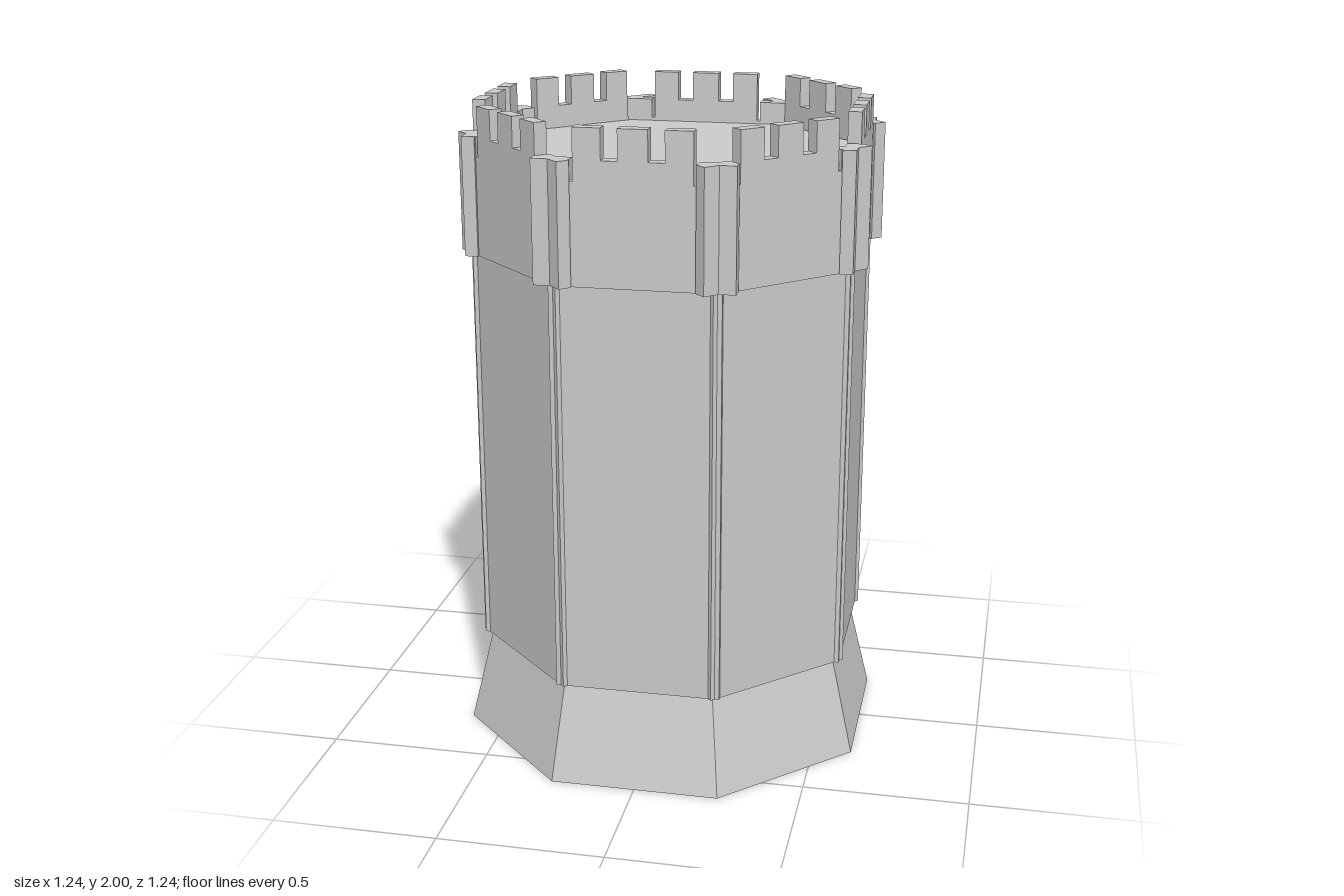
import * as THREE from 'three';

const material = new THREE.MeshStandardMaterial({ color: 0xcccccc });
const thinMaterial = new THREE.MeshStandardMaterial({ color: 0xcccccc, side: THREE.DoubleSide });

const SKIRT_TOP = 0.3, BAND_BOTTOM = 1.55, BAND_TOP = 1.91, TOP = 2;
const THICKNESS = 0.04;
const EIGHTH = Math.PI / 4;

function named(geometry, name, mat = material) {
  const mesh = new THREE.Mesh(geometry, mat);
  mesh.name = name;
  return mesh;
}

// One parapet slab: a wide band with three merlons and a narrow slot at each end of the row
function parapetGeometry() {
  const half = 0.29;
  const shape = new THREE.Shape();
  shape.moveTo(-half, BAND_BOTTOM);
  shape.lineTo(half, BAND_BOTTOM);
  shape.lineTo(half, BAND_TOP);
  shape.lineTo(0.18, BAND_TOP);
  shape.lineTo(0.18, 1.85);
  shape.lineTo(0.17, 1.85);
  for (const x of [0.1325, 0, -0.1325]) {
    const w = x === 0 ? 0.043 : 0.0425;
    const right = x > 0 ? 0.17 : x + w;
    const left = x < 0 ? -0.17 : x - w;
    if (x <= 0) shape.lineTo(right, BAND_TOP);
    shape.lineTo(right, TOP);
    shape.lineTo(left, TOP);
    if (x >= 0) shape.lineTo(left, BAND_TOP);
  }
  shape.lineTo(-0.17, 1.85);
  shape.lineTo(-0.18, 1.85);
  shape.lineTo(-0.18, BAND_TOP);
  shape.lineTo(-half, BAND_TOP);
  shape.closePath();
  return new THREE.ExtrudeGeometry(shape, { depth: THICKNESS, bevelEnabled: false });
}

// Sloped base of seven flat panels, open at the back
function skirtGeometry() {
  const ring = (apothem, endX, endZ, y) => {
    const r = apothem / Math.cos(EIGHTH / 2);
    const points = [];
    for (let k = -3.5; k <= 3.5; k++) {
      points.push(Math.abs(k) === 3.5
        ? [Math.sign(k) * endX, y, endZ]
        : [r * Math.sin(k * EIGHTH), y, r * Math.cos(k * EIGHTH)]);
    }
    return points;
  };
  const low = ring(0.619, 0.293, -0.582, 0);
  const high = ring(0.55, 0.25, -0.528, SKIRT_TOP);
  const positions = [];
  for (let i = 0; i < 7; i++) {
    positions.push(...low[i], ...low[i + 1], ...high[i + 1]);
    positions.push(...low[i], ...high[i + 1], ...high[i]);
  }
  const geometry = new THREE.BufferGeometry();
  geometry.setAttribute('position', new THREE.Float32BufferAttribute(positions, 3));
  geometry.computeVertexNormals();
  return geometry;
}

export function createModel() {
  const tower = new THREE.Group();
  tower.name = 'tower';

  tower.add(named(skirtGeometry(), 'baseSkirt', thinMaterial));

  // Eight overlapping wall and parapet slabs; the back one sits deeper and reaches the ground
  const sides = new THREE.Group();
  sides.name = 'sides';
  sides.position.z = -0.008;
  const parapet = parapetGeometry();
  for (let k = 0; k < 8; k++) {
    const isBack = k === 4;
    const side = new THREE.Group();
    side.name = isBack ? 'backSide' : 'side' + k;
    side.rotation.y = k * EIGHTH;
    const inset = isBack ? 0.035 : 0;

    const bottom = isBack ? 0 : SKIRT_TOP;
    const wall = named(new THREE.BoxGeometry(0.5, BAND_BOTTOM - bottom, THICKNESS), 'wall');
    wall.position.set(0, (BAND_BOTTOM + bottom) / 2, 0.55 - inset);

    const crown = named(parapet, 'parapet');
    crown.position.z = 0.541 - inset;

    side.add(wall, crown);
    sides.add(side);
  }
  tower.add(sides);

  // Roof deck, just below the parapet top
  const deckShape = new THREE.CylinderGeometry(0.59, 0.59, 0.02, 8).toNonIndexed();
  deckShape.computeVertexNormals();
  const deck = named(deckShape, 'roofDeck');
  deck.rotation.y = EIGHTH / 2;
  deck.scale.z = 1;
  deck.position.set(0, 1.83, 0.006);
  tower.add(deck);

  return tower;
}
